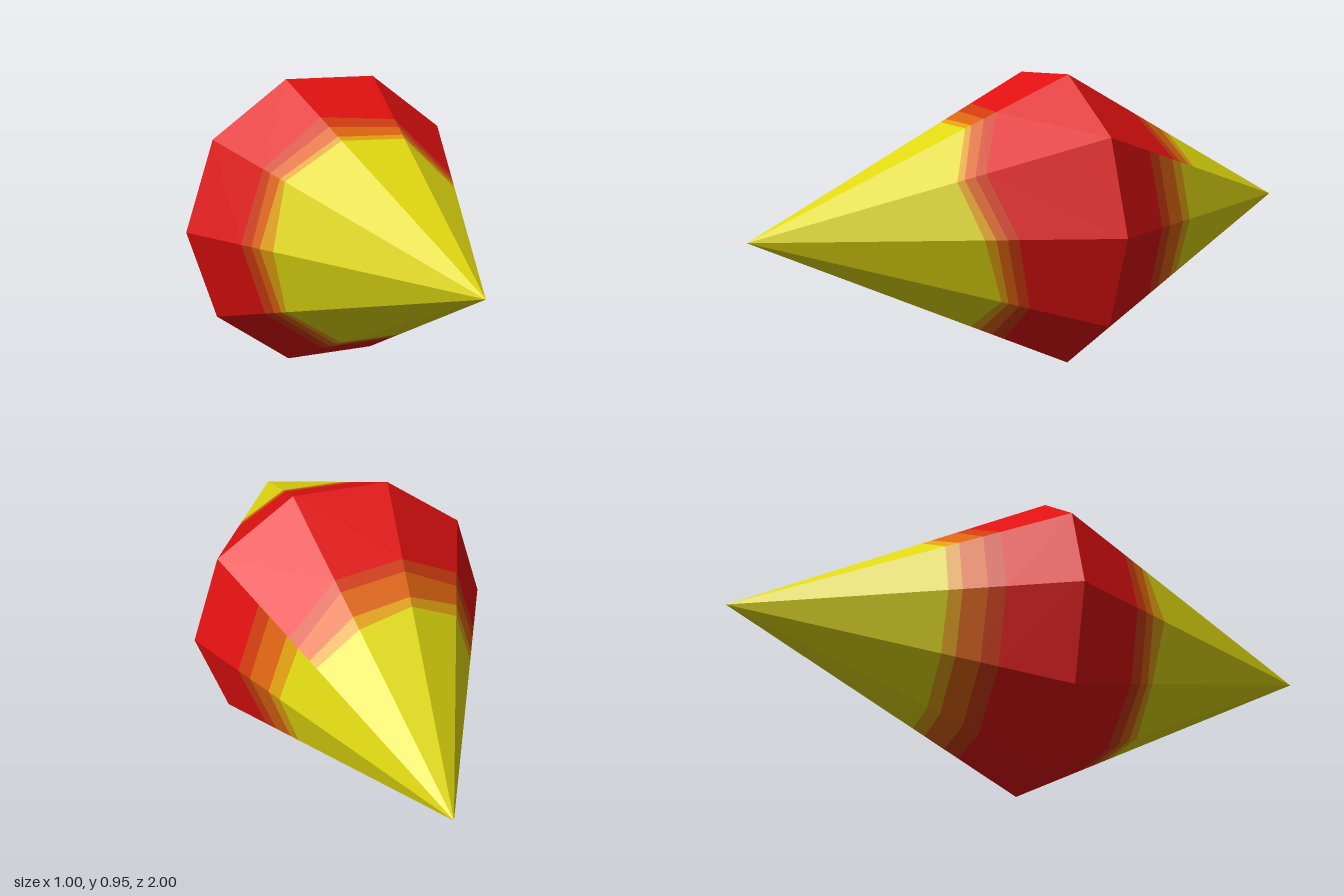
import * as THREE from 'three';

const SIDES = 10, RADIUS = 0.5, STEP = Math.PI * 2 / SIDES;
const CENTER_Y = RADIUS * Math.sin(2 * STEP);

const BANDS = [
  ['red', 0xe01010],
  ['redOrange', 0xcf3c10],
  ['orange', 0xdc6410],
  ['amber', 0xe0a010],
  ['yellow', 0xe0d810],
];

// Distance from the girdle where each colour ends, one row per ridge from 36 degrees round
const FRONT = [
  [0.35, 0.38, 0.41, 0.43], [0.24, 0.28, 0.32, 0.34], [0.21, 0.26, 0.31, 0.33],
  [0.22, 0.25, 0.29, 0.31], [0.22, 0.26, 0.29, 0.34], [0.22, 0.26, 0.29, 0.31],
  [0.22, 0.26, 0.30, 0.33], [0.22, 0.26, 0.30, 0.33], [0.23, 0.26, 0.29, 0.31],
  [0.29, 0.32, 0.35, 0.38], [0.35, 0.38, 0.41, 0.43],
];
const BACK = [
  [0.34, 0.38, 0.43, 0.46], [0.29, 0.33, 0.41, 0.45], [0.26, 0.30, 0.38, 0.41],
  [0.21, 0.26, 0.33, 0.37], [0.21, 0.26, 0.33, 0.37], [0.21, 0.26, 0.33, 0.37],
  [0.21, 0.26, 0.33, 0.37], [0.21, 0.26, 0.33, 0.37], [0.21, 0.26, 0.33, 0.37],
  [0.20, 0.25, 0.33, 0.375], [0.20, 0.25, 0.33, 0.38],
];

// Point on a ridge at distance d from the girdle towards the tip
function ridgePoint(i, d, dir) {
  const a = (i + 1) * STEP, r = RADIUS * (1 - d);
  return [r * Math.cos(a), CENTER_Y + r * Math.sin(a), d * dir];
}

// One colour band around one pyramid, closed with triangles at the tip
function bandGeometry(rows, band, dir) {
  const pos = [];
  const tri = (a, b, c) => pos.push(...a, ...(dir > 0 ? b : c), ...(dir > 0 ? c : b));
  const limit = (i, k) => (k < 0 ? 0 : k > 3 ? 1 : rows[i][k]);
  for (let i = 0; i < SIDES; i++) {
    const a = ridgePoint(i, limit(i, band - 1), dir);
    const b = ridgePoint(i + 1, limit(i + 1, band - 1), dir);
    const c = ridgePoint(i + 1, limit(i + 1, band), dir);
    const d = ridgePoint(i, limit(i, band), dir);
    tri(a, b, c);
    if (band < 4) tri(a, c, d);
  }
  const g = new THREE.BufferGeometry();
  g.setAttribute('position', new THREE.Float32BufferAttribute(pos, 3));
  g.computeVertexNormals();
  return g;
}

export function createModel() {
  const model = new THREE.Group();
  model.name = 'crystal';
  const materials = BANDS.map(([name, color]) => {
    const m = new THREE.MeshStandardMaterial({ color });
    m.name = name;
    return m;
  });

  // Front and back ten-sided pyramids meeting at the girdle
  for (const [name, rows, dir] of [['front', FRONT, 1], ['back', BACK, -1]]) {
    const half = new THREE.Group();
    half.name = name + 'Pyramid';
    BANDS.forEach(([color], k) => {
      const mesh = new THREE.Mesh(bandGeometry(rows, k, dir), materials[k]);
      mesh.name = name + (k === 4 ? 'Tip' : 'Band' + color[0].toUpperCase() + color.slice(1));
      half.add(mesh);
    });
    model.add(half);
  }
  return model;
}
